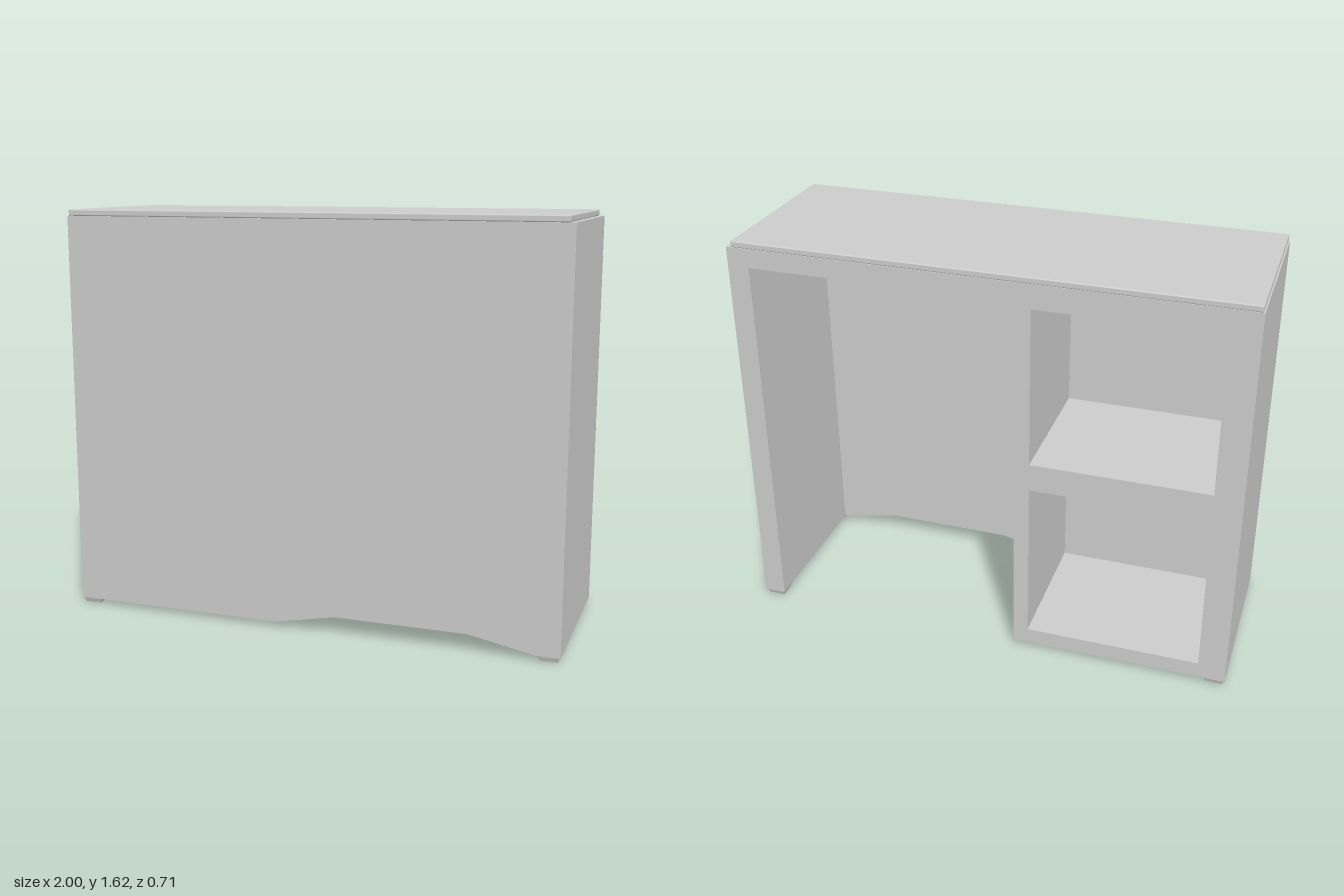
import * as THREE from 'three';
import { RoundedBoxGeometry } from 'three/addons/geometries/RoundedBoxGeometry.js';

const material = new THREE.MeshStandardMaterial({ color: 0xcccccc });
const HALF_DEPTH = 0.355;
const BASE = 0.02;
const BODY_TOP = 1.6;

function toShape(points) {
  return new THREE.Shape(points.map(([x, y]) => new THREE.Vector2(x, y)));
}

function rectPath(x0, x1, y0, y1) {
  return new THREE.Path([[x0, y0], [x0, y1], [x1, y1], [x1, y0]]
    .map(([x, y]) => new THREE.Vector2(x, y)));
}

// Extrudes an outline in the xy plane between two depths
function slab(name, shape, z0, z1) {
  const geometry = new THREE.ExtrudeGeometry(shape, { depth: z1 - z0, bevelEnabled: false });
  geometry.translate(0, 0, z0);
  const mesh = new THREE.Mesh(geometry, material);
  mesh.name = name;
  return mesh;
}

// Cabinet on one side, knee space and side panel on the other
function carcassShape() {
  return toShape([
    [-1, BASE], [-0.13, BASE], [-0.13, 1.525], [0.914, 1.525],
    [0.914, BASE], [1, BASE], [1, BODY_TOP], [-1, BODY_TOP],
  ]);
}

// Small foot tapering toward the floor
function foot(sx, sz) {
  const geometry = new THREE.BoxGeometry(0.084, BASE, 0.07).toNonIndexed();
  const pos = geometry.attributes.position;
  for (let i = 0; i < pos.count; i++) {
    if (pos.getY(i) < 0) {
      pos.setX(i, pos.getX(i) * 0.8);
      pos.setZ(i, pos.getZ(i) * 0.8);
    }
  }
  geometry.computeVertexNormals();
  const mesh = new THREE.Mesh(geometry, material);
  mesh.name = 'foot';
  mesh.position.set(sx * 0.956, BASE / 2, sz * (HALF_DEPTH - 0.037));
  return mesh;
}

export function createModel() {
  const model = new THREE.Group();
  model.name = 'desk';

  // Carcass with two open shelf compartments
  const frame = carcassShape();
  frame.holes.push(rectPath(-0.89, -0.19, 0.867, 1.505), rectPath(-0.89, -0.19, 0.086, 0.754));
  model.add(slab('carcass', frame, -HALF_DEPTH, 0.21));

  // Solid layer closing the compartments
  model.add(slab('compartmentBack', carcassShape(), 0.21, 0.28));

  // Front panel with an arched lower edge
  const panel = toShape([
    [-1, BASE], [-0.13, BASE], [0.12, 0.07], [0.65, 0.07],
    [0.91, BASE], [1, BASE], [1, BODY_TOP], [-1, BODY_TOP],
  ]);
  model.add(slab('frontPanel', panel, 0.28, HALF_DEPTH));

  // Top board, slightly shorter than the body
  const board = new THREE.Mesh(
    new RoundedBoxGeometry(1.975, 0.025, HALF_DEPTH * 2, 2, 0.005), material);
  board.name = 'topBoard';
  board.position.set(-0.0075, BODY_TOP + 0.0125, 0);
  model.add(board);

  for (const sx of [-1, 1]) for (const sz of [-1, 1]) model.add(foot(sx, sz));
  return model;
}
